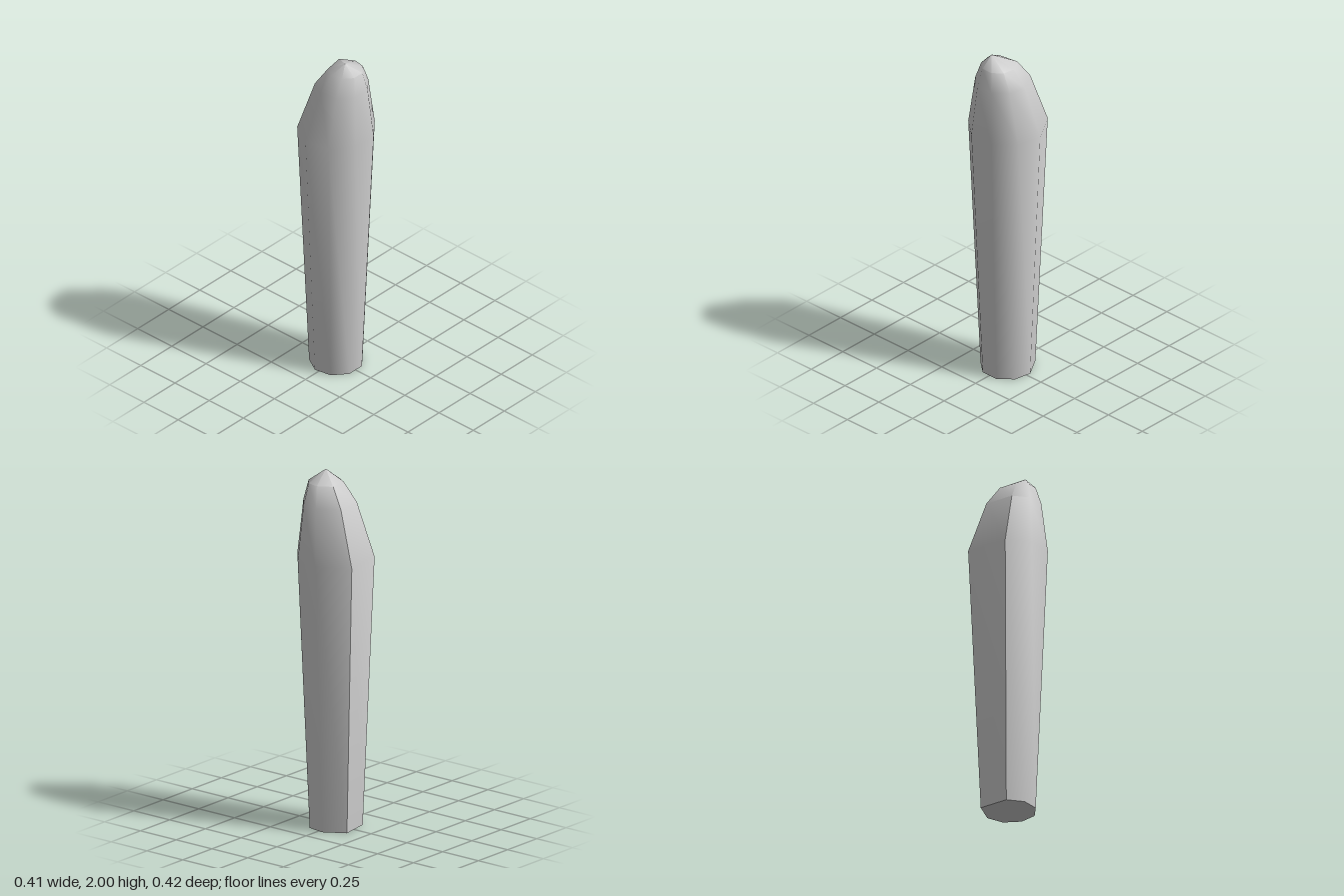
import * as THREE from 'three';
import { toCreasedNormals } from 'three/addons/utils/BufferGeometryUtils.js';

// Cross-section at the widest level: a nonagon with one corner merged away [x, z]
const SECTION = [
  [0.205, 0.073], [0.11, 0.185], [-0.035, 0.211], [-0.163, 0.137],
  [-0.205, -0.11], [-0.035, -0.213], [0.11, -0.187], [0.205, -0.074],
];

// Levels from base to shoulder: height, scale, sideways shift
const LEVELS = [
  { y: 0, scale: 0.69, shift: -0.002 },
  { y: 1.525, scale: 1, shift: 0 },
  { y: 1.83, scale: 0.69, shift: 0.04 },
  { y: 1.94, scale: 0.45, shift: 0.067 },
];

const TIP = [0.09, 2, 0.03];

function loftGeometry() {
  const n = SECTION.length;
  const positions = [];
  const index = [];
  for (const { y, scale, shift } of LEVELS) {
    for (const [x, z] of SECTION) positions.push(x * scale + shift, y, z * scale);
  }
  const tip = n * LEVELS.length;
  const base = tip + 1;
  positions.push(...TIP, 0, 0, 0);

  const top = (LEVELS.length - 1) * n;
  for (let i = 0; i < n; i++) {
    const j = (i + 1) % n;
    // side walls
    for (let row = 0; row < top; row += n) {
      const a = row + i, b = row + j, c = a + n, d = b + n;
      index.push(a, c, d, a, d, b);
    }
    // pointed top and flat base
    index.push(top + i, tip, top + j);
    index.push(base, i, j);
  }

  const geometry = new THREE.BufferGeometry();
  geometry.setAttribute('position', new THREE.Float32BufferAttribute(positions, 3));
  geometry.setIndex(index);
  return toCreasedNormals(geometry, THREE.MathUtils.degToRad(46));
}

export function createModel() {
  const group = new THREE.Group();
  group.name = 'taperedPost';
  // Single faceted shaft, widening upward to an off-centre rounded point
  const shaft = new THREE.Mesh(
    loftGeometry(),
    new THREE.MeshStandardMaterial({ color: 0xcccccc }),
  );
  shaft.name = 'shaft';
  group.add(shaft);
  return group;
}
